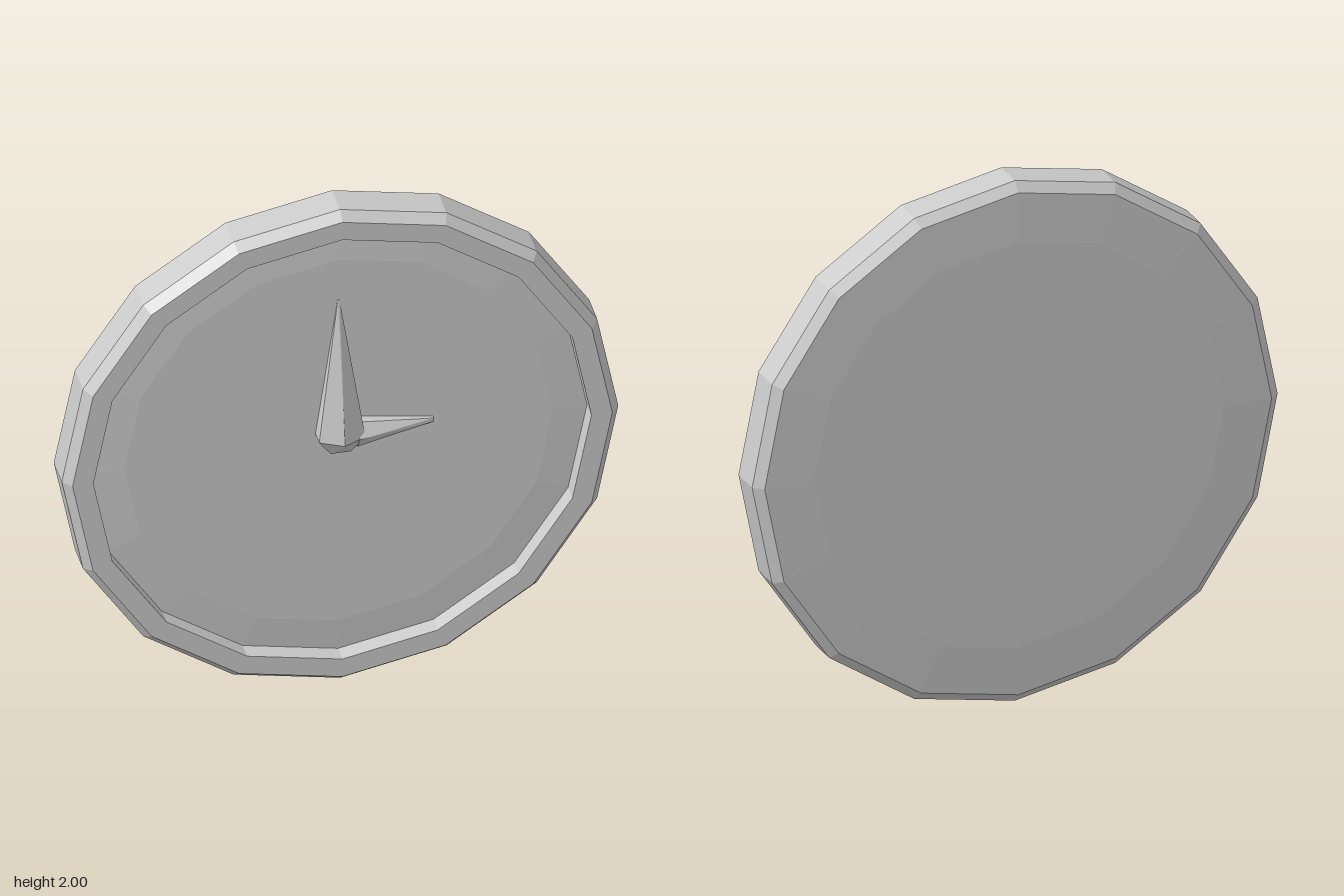
import * as THREE from 'three';
import { ConvexGeometry } from 'three/addons/geometries/ConvexGeometry.js';

const material = new THREE.MeshStandardMaterial({ color: 0xcccccc, flatShading: true });
const SIDES = 16;

// Faceted ring or disc turned around the z axis; profile points are [radius, z], back to front
function turned(name, profile) {
  const geometry = new THREE.LatheGeometry(profile.map(([r, z]) => new THREE.Vector2(r, z)), SIDES);
  geometry.rotateX(Math.PI / 2);
  const mesh = new THREE.Mesh(geometry, material);
  mesh.name = name;
  return mesh;
}

// Tapered hand pointing up: ridged at the hub, sinking into the dial at its tip
function hand(name, { length, halfWidth, tail, ridge, side, tipZ, tipHalf }) {
  const points = [new THREE.Vector3(0, 0, ridge)];
  for (const s of [-1, 1]) {
    points.push(
      new THREE.Vector3(s * halfWidth, 0, side),
      new THREE.Vector3(s * halfWidth, 0, 0),
      new THREE.Vector3(s * halfWidth * 0.45, -tail, side - 0.02),
      new THREE.Vector3(s * halfWidth * 0.45, -tail, 0),
      new THREE.Vector3(s * tipHalf, length, tipZ),
      new THREE.Vector3(s * tipHalf, length, 0)
    );
  }
  const mesh = new THREE.Mesh(new ConvexGeometry(points), material);
  mesh.name = name;
  return mesh;
}

export function createModel() {
  const clock = new THREE.Group();
  clock.name = 'wallClock';
  const body = new THREE.Group();
  body.name = 'clockBody';
  body.position.y = 1;
  clock.add(body);

  // Slightly domed back, bevelled case and raised front rim
  body.add(turned('case', [
    [0, -0.117], [0.78, -0.117], [0.965, -0.11], [1, -0.08],
    [1, 0.04], [0.97, 0.077], [0.895, 0.077], [0.895, 0.01],
  ]));

  // Recessed dial with a gently sloped border
  body.add(turned('dial', [[0.895, 0.01], [0.77, 0.018], [0, 0.018]]));

  const minuteHand = hand('minuteHand', {
    length: 0.56, halfWidth: 0.083, tail: 0.068, ridge: 0.117, side: 0.075, tipZ: 0.02, tipHalf: 0.003,
  });
  minuteHand.position.y = 0.04;
  body.add(minuteHand);

  // Hour hand points to the model's left
  const hourHand = hand('hourHand', {
    length: 0.28, halfWidth: 0.052, tail: 0.04, ridge: 0.09, side: 0.055, tipZ: 0.03, tipHalf: 0.007,
  });
  hourHand.rotation.z = -Math.PI / 2;
  hourHand.position.set(0.06, 0.04, 0);
  body.add(hourHand);

  return clock;
}
